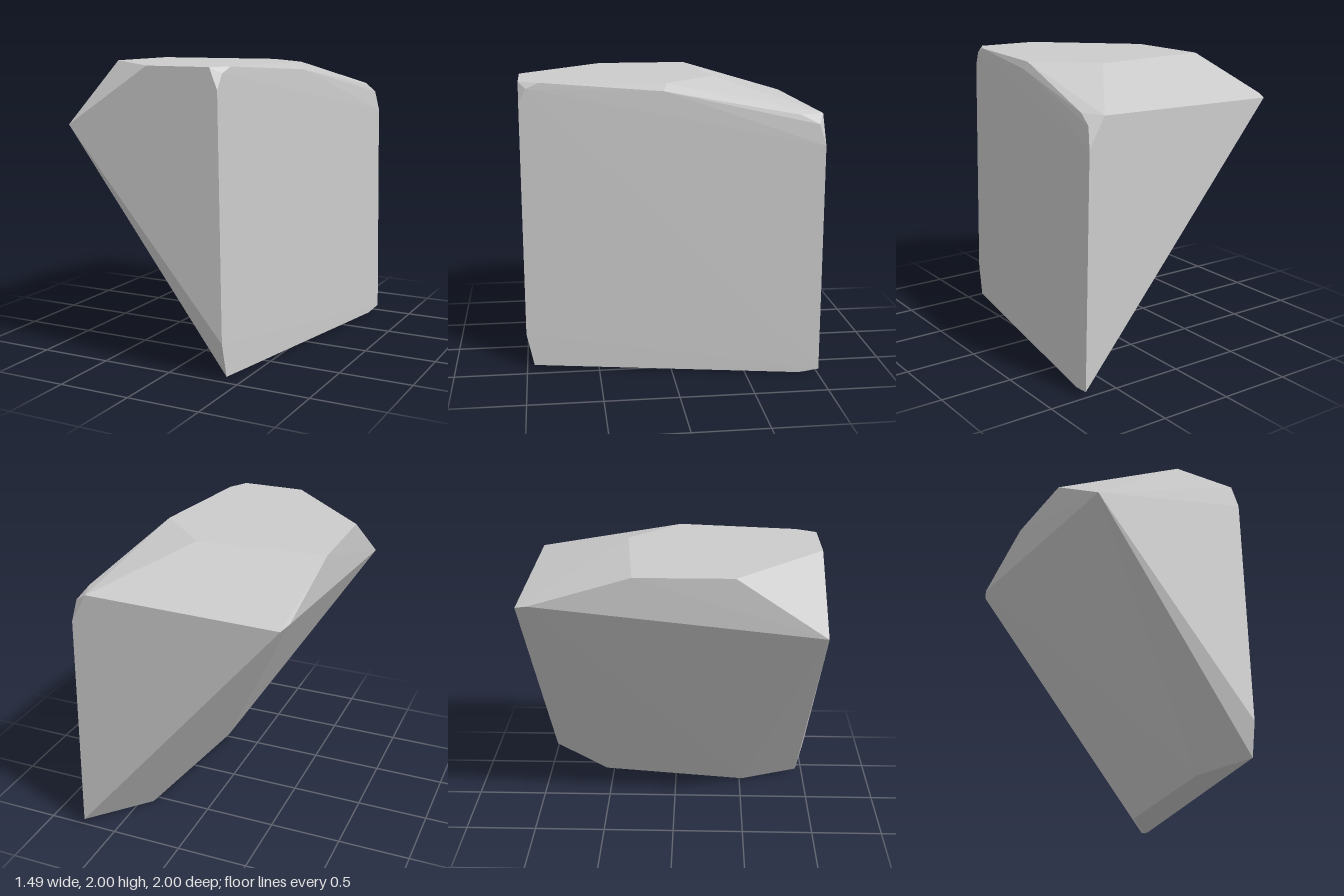
import * as THREE from 'three';
import { ConvexGeometry } from 'three/addons/geometries/ConvexGeometry.js';

// Faceted stone chunk: the convex hull of a few rings of corner points
export function createModel() {
  const group = new THREE.Group();
  group.name = 'stoneChunk';

  // flat top
  const top = [
    [-0.75, 2, 0.4], [-0.14, 2, 1], [0.31, 2, 1], [0.385, 2, 0.86],
    [0.5, 2, 0.03], [0.13, 2, -0.33], [-0.75, 2, -0.25],
  ];
  // bevelled corners below the top
  const shoulder = [
    [0.365, 1.86, 1], [0.373, 1.96, 0.95], [0.522, 1.95, 0.05],
    [-0.75, 1.6, 1], [-0.74, 1.8, -0.92], [-0.71, 1.78, -1],
    [0.6, 1.8, -1], [0.66, 1.8, -0.84], [0.69, 1.74, -0.96], [0.71, 1.6, -1],
  ];
  // narrow foot
  const foot = [
    [0.393, 0.25, 1], [0.4, 0.02, 0.95], [0.26, 0.005, 0.52],
    [0.41, 0, -0.56], [0.71, 0.01, -0.9], [0.74, 0.04, -1], [0.715, 0.01, -0.86],
  ];

  const points = [...top, ...shoulder, ...foot].map((p) => new THREE.Vector3(...p));
  const material = new THREE.MeshStandardMaterial({ color: 0xcccccc, flatShading: true });
  const stone = new THREE.Mesh(new ConvexGeometry(points), material);
  stone.name = 'stone';
  group.add(stone);
  return group;
}
